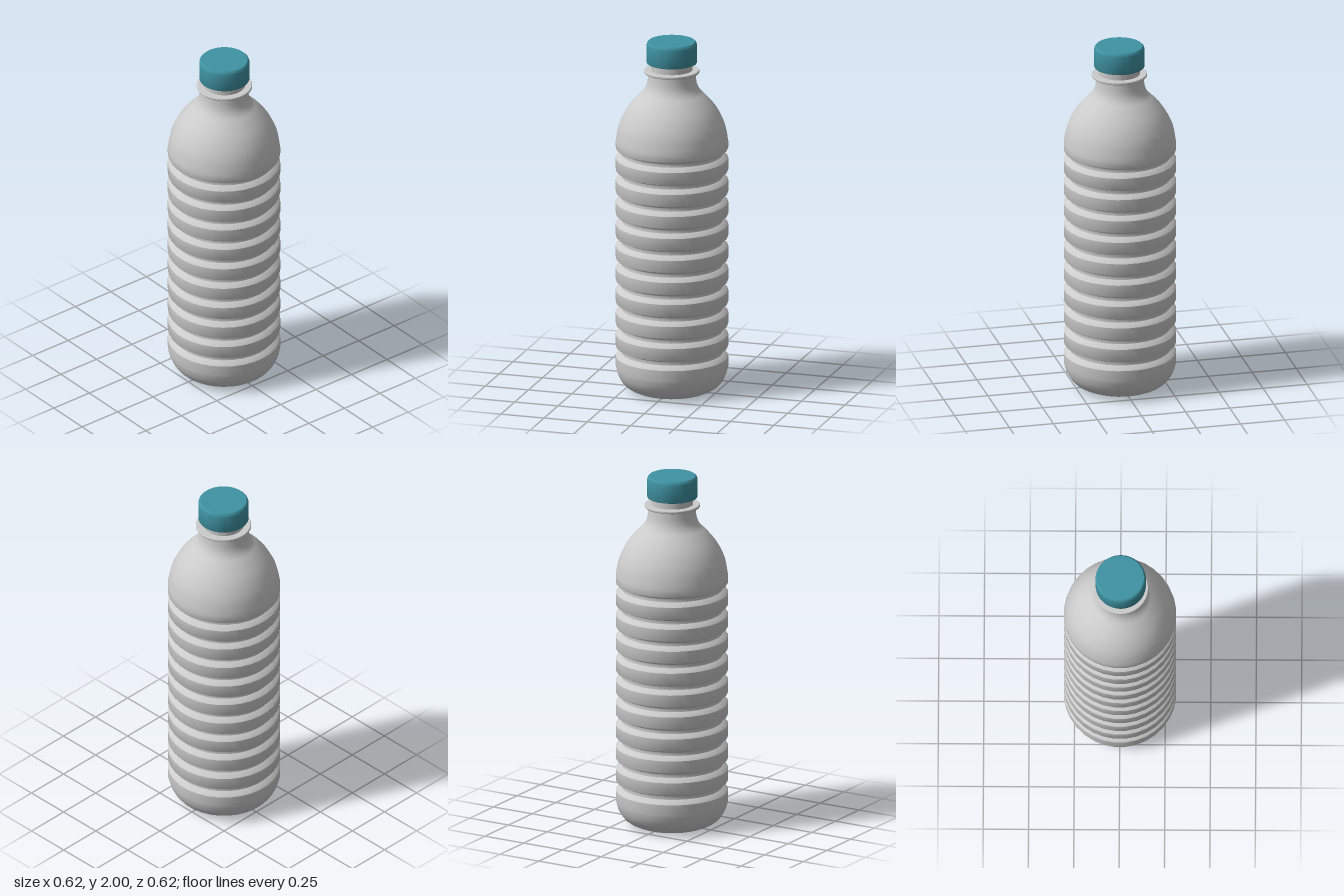
import * as THREE from 'three';
import { toCreasedNormals } from 'three/addons/utils/BufferGeometryUtils.js';

const SIDES = 32;
const grey = new THREE.MeshStandardMaterial({ color: 0xcccccc, side: THREE.DoubleSide });
const teal = new THREE.MeshStandardMaterial({ color: 0x3f93a3, side: THREE.DoubleSide });

// Revolve a bottom-to-top [radius, height] profile, keeping hard edges crisp
function turned(name, profile, material, sides = SIDES) {
  const points = profile.map(([r, y]) => new THREE.Vector2(r, y));
  const lathe = new THREE.LatheGeometry(points, sides, Math.PI / sides);
  const mesh = new THREE.Mesh(toCreasedNormals(lathe, 0.6), material);
  mesh.name = name;
  return mesh;
}

// Smooth curve through a few profile points
function smooth(points, divisions) {
  const curve = new THREE.SplineCurve(points.map(([r, y]) => new THREE.Vector2(r, y)));
  return curve.getPoints(divisions).map((p) => [p.x, p.y]);
}

export function createModel() {
  const bottle = new THREE.Group();
  bottle.name = 'bottle';
  const R = 0.31;

  // Rounded foot with a slightly hollow underside
  const profile = [[0, 0.012], [0.15, 0.008], [0.185, 0],
    ...smooth([[0.2, 0.002], [0.255, 0.03], [0.293, 0.08], [R, 0.135]], 8)];

  // Ten grooves leave nine ribs around the body
  for (let i = 0; i < 10; i++) {
    const y = 0.23 + i * 0.1263;
    profile.push([R, y - 0.035], [R - 0.006, y - 0.027], [0.281, y - 0.012],
      [0.279, y], [0.281, y + 0.008], [R - 0.003, y + 0.02], [R, y + 0.026]);
  }

  // Domed shoulder sweeping into the neck
  profile.push(...smooth([[R, 1.43], [0.293, 1.52], [0.25, 1.61], [0.193, 1.68],
    [0.157, 1.717], [0.137, 1.76], [0.13, 1.825]], 18));
  bottle.add(turned('body', profile, grey));

  // Neck finish sits a hair forward of the body axis
  const top = new THREE.Group();
  top.name = 'neckAndCap';
  top.position.z = 0.004;
  top.add(
    turned('neckRing', [[0.11, 1.822], [0.15, 1.822], [0.153, 1.826], [0.153, 1.834],
      [0.15, 1.838], [0.11, 1.838]], grey, 48),
    turned('neck', [[0.115, 1.8], [0.115, 1.96]], grey, 48),
    turned('cap', [[0.116, 1.878], [0.137, 1.878], [0.139, 1.882], [0.139, 1.98],
      [0.136, 1.992], [0.128, 2], [0, 2]], teal, 48),
  );
  bottle.add(top);
  return bottle;
}
